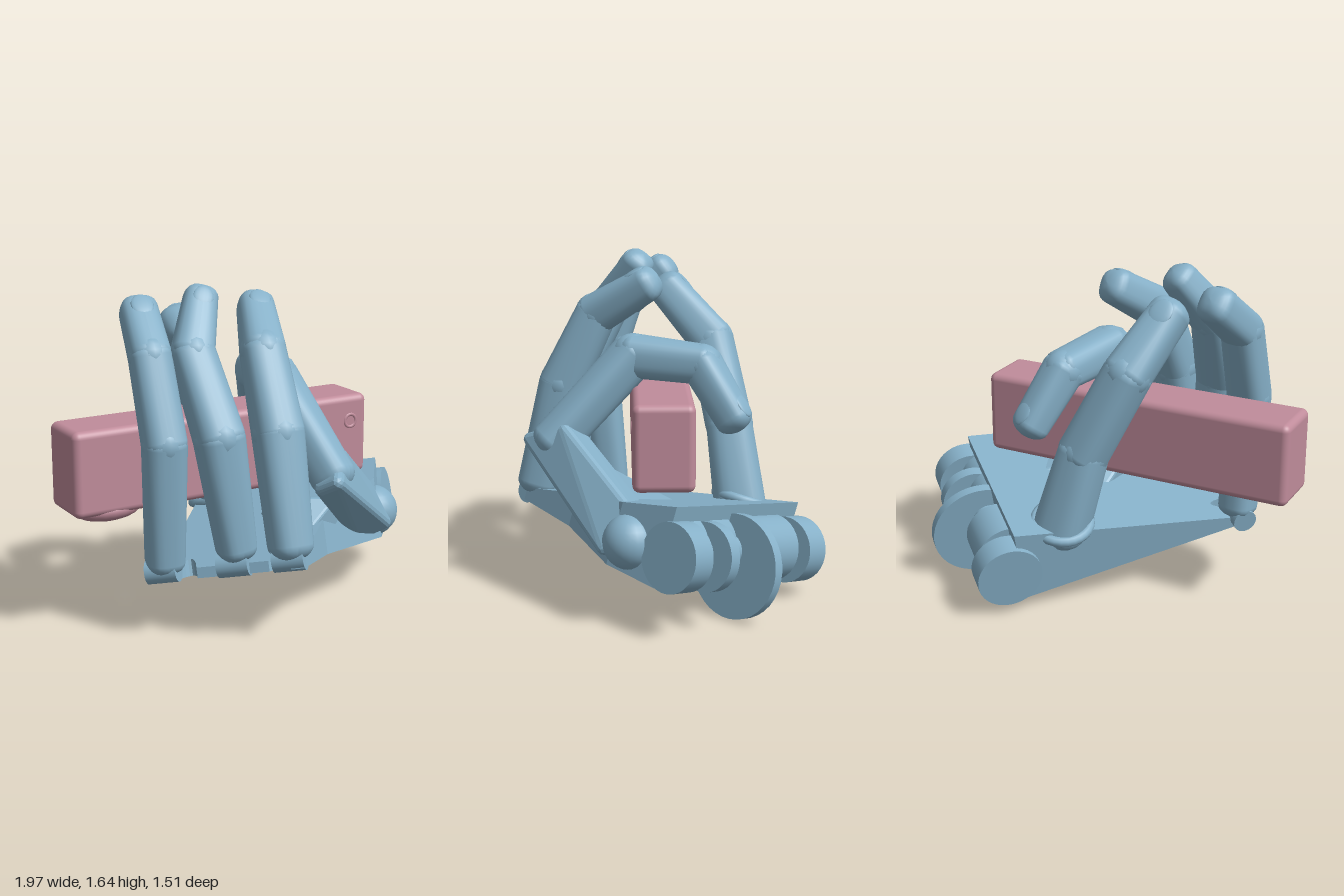
import * as THREE from 'three';
import { RoundedBoxGeometry } from 'three/addons/geometries/RoundedBoxGeometry.js';
import { ConvexGeometry } from 'three/addons/geometries/ConvexGeometry.js';

const V = (p) => new THREE.Vector3(...p);
const UP = new THREE.Vector3(0, 1, 0);

// Palm frame: u runs from the finger edge to the wrist, v across, h up from its tilted underside
const ACROSS = V([0.723, 0.183, 0.691]).normalize();
function palmPoint(u, v, h) {
  const z = 0.27 - 0.723 * u + 0.691 * v;
  return new THREE.Vector3(-0.61 + 0.691 * u + 0.723 * v, 0.2 + 0.265 * z + 0.967 * h, z - 0.256 * h);
}

export function createModel() {
  const model = new THREE.Group();
  const blue = new THREE.MeshStandardMaterial({ color: 0x86b0c8 });
  const pink = new THREE.MeshStandardMaterial({ color: 0xc08c9b });

  function add(parent, name, geometry, material = blue) {
    const mesh = new THREE.Mesh(geometry, material);
    mesh.name = name;
    parent.add(mesh);
    return mesh;
  }

  // Basis with y along a segment and z towards the hinted back of the finger
  function segmentFrame(a, b, hint) {
    const y = b.clone().sub(a).normalize();
    const z = hint.clone().addScaledVector(y, -hint.dot(y)).normalize();
    return new THREE.Matrix4().makeBasis(y.clone().cross(z), y, z).setPosition(a);
  }

  // Tapered segment: rounded-square section, domed ends
  function segment(parent, a, b, ra, rb, hint) {
    const len = a.distanceTo(b);
    const profile = [];
    for (let i = 0; i <= 6; i++) {
      const t = (i / 6) * Math.PI / 2;
      profile.push(new THREE.Vector2(ra * Math.sin(t), -ra * 0.75 * Math.cos(t)));
    }
    for (let i = 0; i <= 6; i++) {
      const t = (i / 6) * Math.PI / 2;
      profile.push(new THREE.Vector2(rb * Math.cos(t), len + rb * 0.75 * Math.sin(t)));
    }
    const g = new THREE.LatheGeometry(profile, 24);
    const p = g.attributes.position;
    for (let i = 0; i < p.count; i++) {
      const x = p.getX(i), z = p.getZ(i), r = Math.hypot(x, z);
      if (r < 1e-5) continue;
      const k = 1 / Math.pow(Math.abs(x / r) ** 3 + Math.abs(z / r) ** 3, 1 / 3);
      p.setX(i, x * k);
      p.setZ(i, z * k);
    }
    g.computeVertexNormals();
    g.applyMatrix4(segmentFrame(a, b, hint));
    add(parent, 'fingerSegment', g);
  }

  // Finger: chain of segments with knuckle balls and a nail
  function finger(name, points, radii, back) {
    const group = new THREE.Group();
    group.name = name;
    const pts = points.map(V), hint = V(back), last = pts.length - 1;
    for (let i = 0; i < last; i++) {
      segment(group, pts[i], pts[i + 1], radii[i], radii[i + 1], hint);
      if (i > 0) {
        const knuckle = add(group, 'knuckle', new THREE.SphereGeometry(radii[i] * 1.04, 18, 12));
        knuckle.position.copy(pts[i]);
      }
    }
    const r = radii[last];
    const nail = new THREE.SphereGeometry(1, 16, 10);
    nail.scale(r * 0.62, r * 0.75, r * 0.16);
    nail.translate(0, pts[last - 1].distanceTo(pts[last]) - r * 0.4, r * 0.92);
    nail.applyMatrix4(segmentFrame(pts[last - 1], pts[last], hint));
    add(group, 'nail', nail);
    model.add(group);
  }

  // Convex block with its corners rounded by small spheres
  function roundedHull(name, corners, radius) {
    const points = [];
    const ball = new THREE.IcosahedronGeometry(radius, 1).attributes.position;
    for (const corner of corners)
      for (let i = 0; i < ball.count; i++)
        points.push(new THREE.Vector3().fromBufferAttribute(ball, i).add(V(corner)));
    add(model, name, new ConvexGeometry(points));
  }

  // Gripped bar with a worn lower corner and a dent
  const bar = add(model, 'bar', new RoundedBoxGeometry(1.6, 0.41, 0.29, 4, 0.035), pink);
  bar.position.set(-0.18, 0.805, 0.025);
  const lump = add(model, 'barLump', new THREE.SphereGeometry(1, 20, 12), pink);
  lump.scale.set(0.17, 0.06, 0.1);
  lump.position.set(-0.78, 0.61, 0.07);
  const dent = add(model, 'barDent', new THREE.TorusGeometry(0.032, 0.01, 8, 18), pink);
  dent.position.set(0.52, 0.88, 0.165);

  // Wedge palm with finger notches on its thin edge
  const outline = new THREE.Shape();
  outline.moveTo(0, 0);
  outline.lineTo(1.13, 0);
  outline.lineTo(1.13, 0.9);
  outline.lineTo(0.85, 0.92);
  outline.lineTo(0.4, 0.72);
  outline.lineTo(0, 0.68);
  for (const v of [0.52, 0.3, 0.08]) {
    outline.lineTo(0, v + 0.1);
    outline.quadraticCurveTo(0.2, v + 0.05, 0, v);
  }
  const palm = new THREE.ExtrudeGeometry(outline, { depth: 1, bevelEnabled: false, curveSegments: 8 });
  const pp = palm.attributes.position;
  for (let i = 0; i < pp.count; i++) {
    const u = pp.getX(i);
    const q = palmPoint(u, pp.getY(i), (1 - pp.getZ(i)) * (0.05 + 0.3 * u));
    pp.setXYZ(i, q.x, q.y, q.z);
  }
  palm.computeVertexNormals();
  add(model, 'palm', palm);

  // Wrist lugs, hinge pin and large hinge disc on the axis across the palm
  function wristPart(name, u, v, h, radius, length) {
    const part = add(model, name, new THREE.CylinderGeometry(radius, radius, length, 36));
    part.quaternion.setFromUnitVectors(UP, ACROSS);
    part.position.copy(palmPoint(u, v, h));
  }
  for (const [u, v, length] of [[1.19, 0.04, 0.13], [1.15, 0.25, 0.22], [1.07, 0.58, 0.14],
    [1.2, 0.68, 0.06], [1.07, 0.76, 0.1], [1.18, 0.87, 0.12]])
    wristPart('wristLug', u, v, 0.17, 0.16, length);
  wristPart('wristPin', 1.17, 0.45, 0.18, 0.08, 0.8);
  wristPart('hingeDisc', 1.22, 0.48, 0.12, 0.245, 0.05);

  // Web joining the palm to the forward digit
  roundedHull('palmWeb', [
    [0.03, 0.56, 0.28], [0.26, 0.56, 0.4], [0.28, 0.33, 0.38], [0.02, 0.4, 0.46],
    [0.62, 0.47, 0.16], [0.62, 0.28, 0.17], [0.45, 0.46, -0.1], [0.08, 0.37, 0.0],
  ], 0.02);

  // Forward metacarpal: broad flat plate facing outward, with a ball root
  roundedHull('metacarpal', [
    [0.11, 0.745, 0.66], [0.24, 0.815, 0.49], [0.69, 0.46, 0.13], [0.65, 0.36, 0.3],
    [0.08, 0.7, 0.58], [0.19, 0.76, 0.41], [0.6, 0.42, 0.07], [0.5, 0.32, 0.28],
  ], 0.035);
  const ball = add(model, 'metacarpalRoot', new THREE.SphereGeometry(0.13, 24, 16));
  ball.position.set(0.66, 0.39, 0.18);

  // Socket of the rear digit
  const socket = add(model, 'rearSocket', new THREE.TorusGeometry(0.135, 0.025, 10, 28));
  socket.rotation.set(Math.PI / 2 - 0.3, 0.2, 0);
  socket.position.set(0.06, 0.42, -0.38);

  // Digits, listed from base to tip
  finger('rearDigit', [[0.07, 0.38, -0.37], [-0.03, 0.78, -0.32], [-0.22, 1.18, -0.24], [-0.33, 1.43, -0.02]],
    [0.13, 0.115, 0.11, 0.095], [-0.2, 1, -0.6]);
  finger('outerFinger', [[-0.59, 0.38, 0.28], [-0.61, 0.95, 0.33], [-0.61, 1.33, 0.2], [-0.56, 1.5, -0.01]],
    [0.09, 0.1, 0.095, 0.088], [-0.2, 0.7, 1]);
  finger('middleFinger', [[-0.33, 0.46, 0.49], [-0.4, 0.98, 0.46], [-0.43, 1.34, 0.27], [-0.31, 1.56, 0.13]],
    [0.09, 0.112, 0.1, 0.08], [-0.2, 0.7, 1]);
  finger('innerFinger', [[-0.13, 0.48, 0.64], [-0.12, 0.98, 0.51], [-0.1, 1.33, 0.34], [0.01, 1.49, 0.09]],
    [0.1, 0.115, 0.102, 0.086], [-0.2, 0.7, 1]);
  finger('forwardDigit', [[0.16, 0.74, 0.55], [0.08, 1.15, 0.16], [0.16, 1.12, -0.17], [0.26, 0.87, -0.32]],
    [0.1, 0.105, 0.095, 0.085], [0.1, 1, -0.3]);

  // Hinge pins at the finger bases
  for (const p of [[-0.6, 0.33, 0.28], [-0.34, 0.38, 0.49], [-0.14, 0.42, 0.65]]) {
    const pin = add(model, 'fingerPin', new THREE.CylinderGeometry(0.06, 0.06, 0.15, 20));
    pin.quaternion.setFromUnitVectors(UP, ACROSS);
    pin.position.set(...p);
  }
  return model;
}
